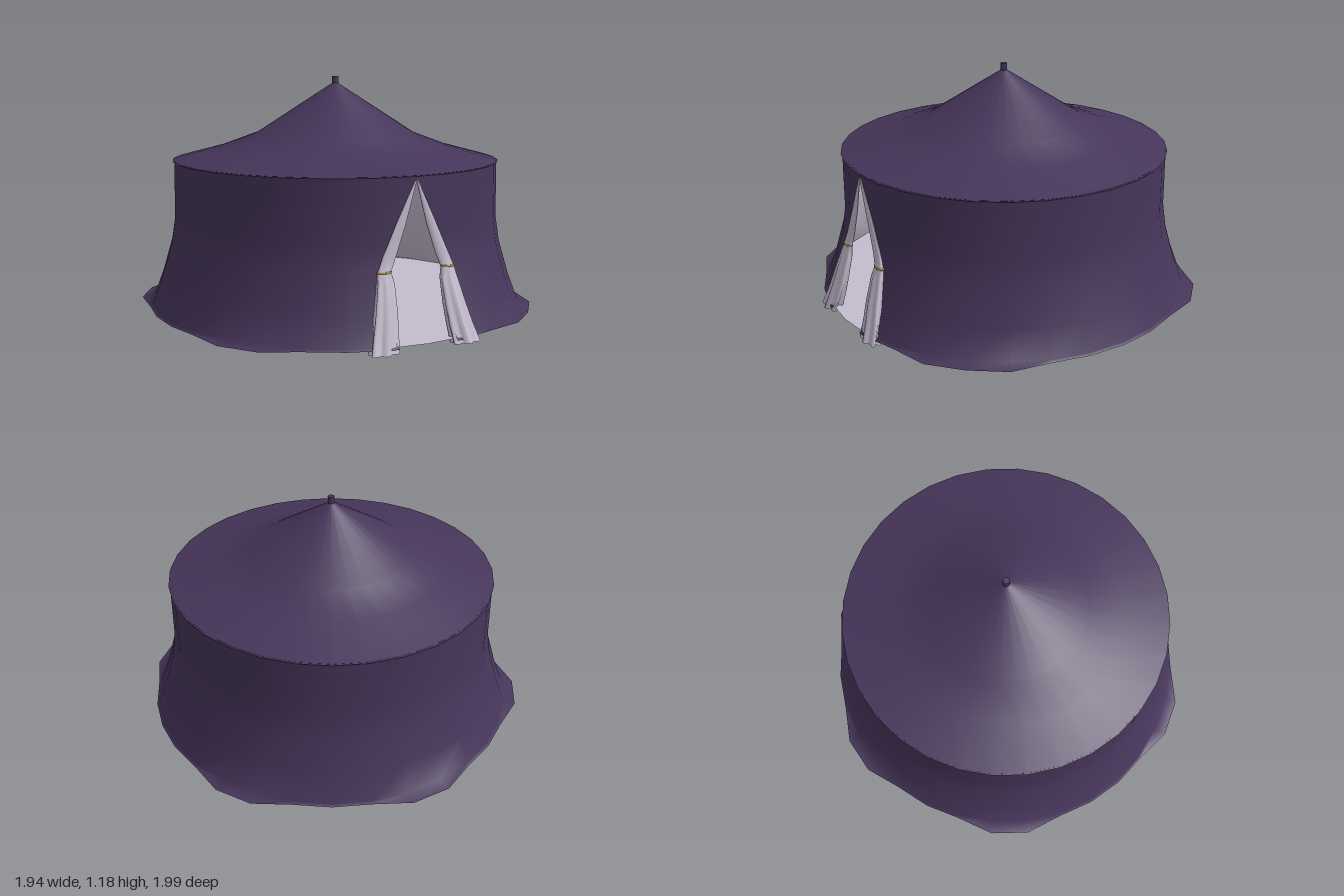
import * as THREE from 'three';

const N = 32, CZ = 0.02;
const PURPLE = 0x46355a, PALE = 0xc4bccf;
const material = (color, side = THREE.FrontSide) => new THREE.MeshStandardMaterial({ color, side });

// Skin stretched over rows of points; consecutive rows go upward
function skin(rows) {
  const pos = [], idx = [], n = rows[0].length;
  rows.forEach(row => row.forEach(p => pos.push(...p)));
  for (let j = 0; j < rows.length - 1; j++)
    for (let i = 0; i < n - 1; i++) {
      const a = j * n + i, b = a + 1, c = a + n, d = c + 1;
      idx.push(a, b, d, a, d, c);
    }
  const g = new THREE.BufferGeometry();
  g.setAttribute('position', new THREE.Float32BufferAttribute(pos, 3));
  g.setIndex(idx);
  g.computeVertexNormals();
  return g;
}

// Hem spreads further out on some of the segments
const spread = new Set([3, 4, 5, 11, 12, 16, 17, 21, 22, 27, 28]);
const hemRadius = i => (spread.has(i % N) ? 1.02 : 0.97);

// [height, radius, half-width of the door opening]
const wallRows = [
  [0.02, 0, 0.15], [0.03, 0.957, 0.15], [0.17, 0.905, 0.155], [0.34, 0.855, 0.16],
  [0.47, 0.835, 0.108], [0.74, 0.832, 0], [0.76, 0.832, 0],
];

function wallGeometry(inset) {
  return skin(wallRows.map(([y, r, half]) => {
    const row = [];
    for (let i = 0; i <= N; i++) {
      const radius = (r || hemRadius(i)) - inset;
      const gap = Math.asin(half / radius);
      const t = i === 0 ? gap : i === N ? 2 * Math.PI - gap : (i / N) * 2 * Math.PI;
      row.push([radius * Math.sin(t), y, CZ + radius * Math.cos(t)]);
    }
    return row;
  }));
}

function roofGeometry(drop) {
  const profile = [[0.84, 0.757], [0.6, 0.82], [0.41, 0.89], [0.015, 1.145], [0, 1.15]];
  return new THREE.LatheGeometry(profile.map(([r, y]) => new THREE.Vector2(r, y - drop)), N);
}

// Gathered door flap: [height, centre x, centre z, half width, half depth, fold depth]
function flapGeometry() {
  const sections = [
    [0, 0.21, 0.95, 0.066, 0.034, 0.2], [0.08, 0.194, 0.925, 0.06, 0.032, 0.16],
    [0.17, 0.178, 0.903, 0.054, 0.029, 0.12], [0.29, 0.163, 0.872, 0.043, 0.022, 0.08],
    [0.34, 0.163, 0.86, 0.034, 0.015, 0], [0.4, 0.137, 0.854, 0.034, 0.011, 0],
    [0.55, 0.076, 0.852, 0.025, 0.008, 0], [0.74, 0.003, 0.854, 0.004, 0.004, 0],
  ];
  return skin(sections.map(([y, cx, cz, w, d, fold]) => {
    const row = [];
    for (let i = 0; i <= 36; i++) {
      const t = (i / 36) * 2 * Math.PI, k = 1 + fold * Math.cos(6 * t);
      row.push([cx + w * k * Math.sin(t), y, cz + d * k * Math.cos(t)]);
    }
    return row;
  }));
}

export function createModel() {
  const group = new THREE.Group();
  const add = (name, geometry, mat, x = 0, y = 0, z = 0, parent = group) => {
    const mesh = new THREE.Mesh(geometry, mat);
    mesh.name = name;
    mesh.position.set(x, y, z);
    parent.add(mesh);
    return mesh;
  };
  const purple = material(PURPLE), lining = material(PALE, THREE.BackSide);

  // Outer canvas and pale inner lining
  add('wall', wallGeometry(0), purple);
  add('wallLining', wallGeometry(0.006), lining);
  add('roof', roofGeometry(0), purple, 0, 0, CZ);
  add('roofLining', roofGeometry(0.008), lining, 0, 0, CZ);

  // Groundsheet: dark underside following the hem, pale floor inside
  const outline = [];
  for (let i = 0; i < N; i++) {
    const t = (i / N) * 2 * Math.PI, r = hemRadius(i);
    outline.push(new THREE.Vector2(r * Math.sin(t), CZ + r * Math.cos(t)));
  }
  add('groundsheet', new THREE.ShapeGeometry(new THREE.Shape(outline)).rotateX(Math.PI / 2), purple, 0, 0.02, 0);
  add('floor', new THREE.CircleGeometry(0.958, N).rotateX(-Math.PI / 2), material(PALE), 0, 0.027, CZ);

  // Centre pole and its tip above the roof
  add('centrePole', new THREE.CylinderGeometry(0.018, 0.018, 1.1, 12), material(0x6b4a2a), 0, 0.577, CZ);
  add('poleTip', new THREE.CylinderGeometry(0.017, 0.017, 0.06, 12), purple, 0, 1.15, CZ);

  // Mirrored door flaps, each gathered by a tie
  for (const [side, s] of [['left', 1], ['right', -1]]) {
    const flap = new THREE.Group();
    flap.name = side + 'DoorFlap';
    flap.scale.x = s;
    add(side + 'Curtain', flapGeometry(), material(PALE, THREE.DoubleSide), 0, 0, 0, flap);
    const tie = add(side + 'Tie', new THREE.TorusGeometry(0.033, 0.005, 8, 24).rotateX(Math.PI / 2),
      material(0xb08a3c), 0.163, 0.34, 0.86, flap);
    tie.scale.z = 0.5;
    group.add(flap);
  }
  return group;
}
